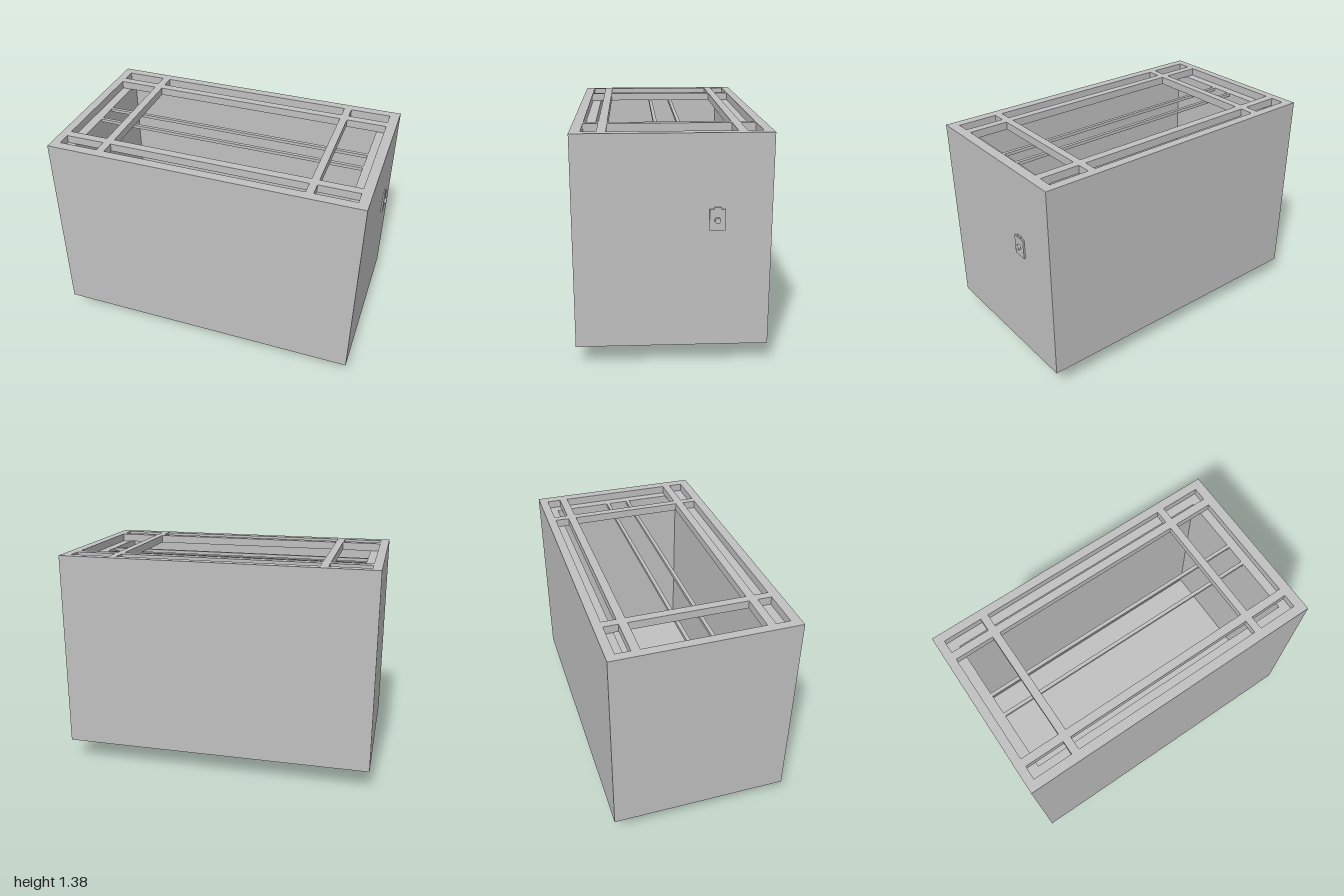
import * as THREE from 'three';

export function createModel() {
  const model = new THREE.Group();
  const grey = new THREE.MeshStandardMaterial({ color: 0xc0c0c0 });
  grey.name = 'plain grey';

  function add(name, geometry, x = 0, y = 0, z = 0) {
    const mesh = new THREE.Mesh(geometry, grey);
    mesh.name = name;
    mesh.position.set(x, y, z);
    model.add(mesh);
    return mesh;
  }

  // Box given by its limits on each axis
  function block(name, [x0, x1], [y0, y1], [z0, z1]) {
    return add(name, new THREE.BoxGeometry(x1 - x0, y1 - y0, z1 - z0),
      (x0 + x1) / 2, (y0 + y1) / 2, (z0 + z1) / 2);
  }

  // Rectangle on the ground plane, as a path of the given class
  function rect(Type, [x0, x1], [z0, z1]) {
    return new Type([[x0, -z1], [x1, -z1], [x1, -z0], [x0, -z0]]
      .map(([x, y]) => new THREE.Vector2(x, y))).closePath();
  }

  // Horizontal slab with rectangular openings
  function slab(name, y0, y1, openings) {
    const shape = rect(THREE.Shape, [-1, 0.975], [-0.56, 0.557]);
    for (const [xs, zs] of openings) shape.holes.push(rect(THREE.Path, xs, zs));
    const geometry = new THREE.ExtrudeGeometry(shape, { depth: y1 - y0, bevelEnabled: false });
    geometry.rotateX(-Math.PI / 2);
    add(name, geometry, 0, y0, 0);
  }

  // Hollow case: floor, thick walls and the lattice rim on top
  const inside = [[-0.885, 0.857], [-0.447, 0.437]];
  slab('caseFloor', 0.13, 0.24, []);
  slab('caseWalls', 0.24, 1.33, [inside]);
  const columns = [[-0.945, -0.695], [-0.645, 0.613], [0.66, 0.913]];
  const rows = [[-0.505, -0.417], [-0.365, 0.358], [0.41, 0.497]];
  slab('topLattice', 1.33, 1.38, columns.flatMap(c => rows.map(r => [c, r])));

  // Rods running the length of the interior
  for (const z of [-0.076, 0.069]) block('innerRod', inside[0], [1.31, 1.33], [z - 0.011, z + 0.011]);

  // Latch on the left side
  block('latchPlate', [0.975, 0.985], [0.83, 0.953], [-0.298, -0.208]);
  block('latchTab', [0.975, 0.983], [0.953, 0.964], [-0.273, -0.233]);
  const knob = add('latchKnob', new THREE.CylinderGeometry(0.017, 0.017, 0.017, 24), 0.9915, 0.89, -0.252);
  knob.rotation.z = -Math.PI / 2;

  // Strip and hanging tab under the floor
  block('undersideStrip', [-0.48, 0.45], [0.122, 0.13], [0.165, 0.188]);
  block('hangingTab', [-0.002, 0.006], [0, 0.13], [-0.038, 0.04]);
  block('tabFoot', [-0.012, -0.002], [0.115, 0.13], [-0.038, 0.04]);
  const stud = add('tabStud', new THREE.CylinderGeometry(0.011, 0.011, 0.007, 20), 0.0095, 0.028, 0);
  stud.rotation.z = -Math.PI / 2;

  return model;
}
